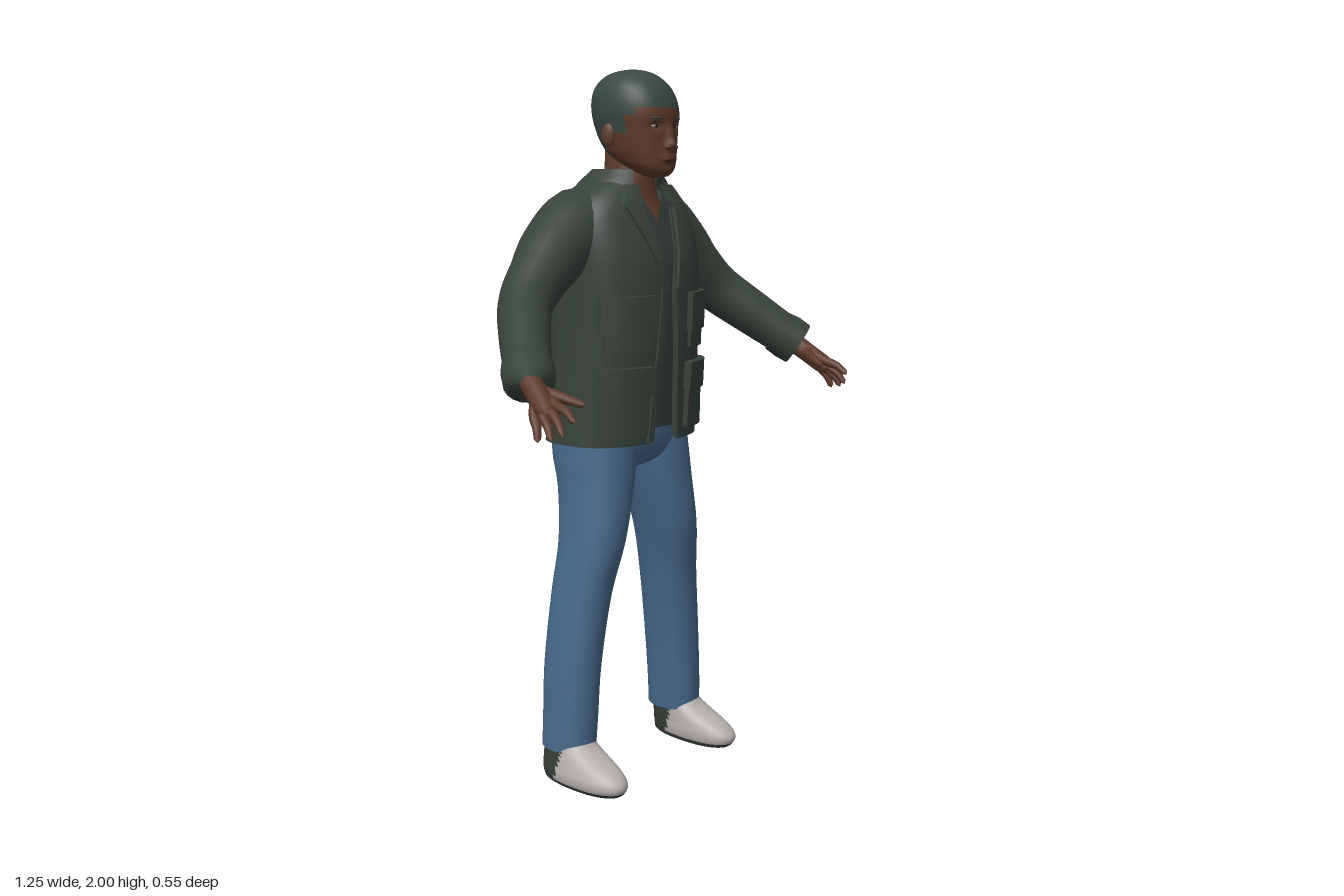
import * as THREE from 'three';

const paint = (name, color, side = THREE.FrontSide) => {
  const m = new THREE.MeshStandardMaterial({ color, side });
  m.name = name;
  return m;
};

// Catmull-Rom smoothing of a list of rows
function smooth(rows, k) {
  const out = [];
  for (let i = 0; i < rows.length - 1; i++) {
    const [a, b, c, d] = [-1, 0, 1, 2].map(o => rows[Math.min(Math.max(i + o, 0), rows.length - 1)]);
    for (let s = 0; s < k; s++) {
      const t = s / k;
      out.push(b.map((v, j) => v + 0.5 * t * (c[j] - a[j] + t * (2 * a[j] - 5 * v + 4 * c[j] - d[j] + t * (3 * (v - c[j]) + d[j] - a[j])))));
    }
  }
  out.push(rows[rows.length - 1]);
  return out;
}

// Skin over horizontal sections [y, zFront, zBack, halfWidth, centreX, frontGap]
function loft(rows, { n = 40, k = 4, p = 2.2, warp, zone } = {}) {
  const open = rows.some(r => r[5] !== undefined);
  const full = smooth(rows.map(r => [r[0], r[1], r[2], r[3], r[4] ?? 0, r[5] ?? 0]), k);
  const cols = open ? n + 1 : n, pos = [], faces = [[], []];
  const pw = v => Math.sign(v) * Math.abs(v) ** (2 / p);
  for (const [y, zf, zb, hw, cx, gap] of full) {
    const g = gap > 0.001 ? Math.asin(Math.min(1, (gap / hw) ** (p / 2))) : 0;
    for (let j = 0; j < cols; j++) {
      const a = g + (j / n) * (2 * Math.PI - 2 * g);
      const v = new THREE.Vector3(cx + hw * pw(Math.sin(a)), y, (zf + zb) / 2 + (zf - zb) / 2 * pw(Math.cos(a)));
      if (warp) warp(v);
      pos.push(v.x, v.y, v.z);
    }
  }
  for (let i = 0; i < full.length - 1; i++) for (let j = 0; j < n; j++) {
    const j2 = (j + 1) % cols, a = i * cols + j, b = i * cols + j2, c = b + cols, d = a + cols;
    const mid = o => (pos[3 * a + o] + pos[3 * b + o] + pos[3 * c + o] + pos[3 * d + o]) / 4;
    faces[zone && zone(mid(0), mid(1), mid(2)) ? 1 : 0].push(a, b, c, a, c, d);
  }
  const g = new THREE.BufferGeometry();
  g.setAttribute('position', new THREE.Float32BufferAttribute(pos, 3));
  g.setIndex([...faces[0], ...faces[1]]);
  if (zone) {
    g.addGroup(0, faces[0].length, 0);
    g.addGroup(faces[0].length, faces[1].length, 1);
  }
  g.computeVertexNormals();
  return g;
}

// Tube through points [x, y, z, radius] with closed ends
function limb(pts, seg = 24, sides = 18) {
  const curve = new THREE.CatmullRomCurve3(pts.map(q => new THREE.Vector3(...q)));
  const g = new THREE.TubeGeometry(curve, seg, 1, sides), at = g.attributes.position, v = new THREE.Vector3();
  for (let i = 0; i <= seg; i++) {
    const c = curve.getPointAt(i / seg), t = curve.getUtoTmapping(i / seg) * (pts.length - 1);
    const k = Math.min(Math.floor(t), pts.length - 2);
    const r = i === 0 || i === seg ? 0.0005 : THREE.MathUtils.lerp(pts[k][3], pts[k + 1][3], t - k);
    for (let j = 0; j <= sides; j++) {
      const q = i * (sides + 1) + j;
      v.fromBufferAttribute(at, q).sub(c).multiplyScalar(r).add(c);
      at.setXYZ(q, v.x, v.y, v.z);
    }
  }
  return g;
}

const JACKET = [
  [0.98, 0.055, -0.275, 0.235, 0, 0.05], [1.1, 0.062, -0.268, 0.23, 0, 0.042], [1.25, 0.075, -0.265, 0.224, 0, 0.03],
  [1.4, 0.08, -0.27, 0.222, 0, 0.015], [1.5, 0.07, -0.268, 0.225, 0, 0.028], [1.58, 0.045, -0.255, 0.222, 0, 0.045],
  [1.64, 0.025, -0.235, 0.195, 0, 0.058], [1.68, 0.008, -0.212, 0.15, 0, 0.06], [1.705, 0, -0.185, 0.1, 0, 0.06]];
const JP = 2.5;

// Front surface of the jacket at x, y
function chestZ(x, y) {
  let i = 0;
  while (i < JACKET.length - 2 && JACKET[i + 1][0] < y) i++;
  const a = JACKET[i], b = JACKET[i + 1], t = (y - a[0]) / (b[0] - a[0]);
  const [zf, zb, hw] = [1, 2, 3].map(j => a[j] + (b[j] - a[j]) * t);
  return (zf + zb) / 2 + (zf - zb) / 2 * Math.max(0, 1 - Math.abs(x / hw) ** JP) ** (1 / JP);
}

// Padded panel lying on the jacket; edges are x as a function of height fraction
function panel(s, inner, outer, y0, y1, thick) {
  const g = new THREE.BoxGeometry(1, 1, 1, 8, 10, 1), at = g.attributes.position;
  for (let i = 0; i < at.count; i++) {
    const u = at.getX(i) + 0.5, t = at.getY(i) + 0.5, y = y0 + (y1 - y0) * t;
    const x = s > 0 ? inner(t) + u * (outer(t) - inner(t)) : -outer(t) + u * (outer(t) - inner(t));
    at.setXYZ(i, x, y, chestZ(x, y) + (at.getZ(i) > 0 ? thick : -0.015));
  }
  g.computeVertexNormals();
  return g;
}

export function createModel() {
  const root = new THREE.Group();
  const skin = paint('skin', 0x5c3a2b), hair = paint('hair', 0x3a4743);
  const jacket = paint('jacket cloth', 0x38423a, THREE.DoubleSide), shirt = paint('shirt cloth', 0x343c39, THREE.DoubleSide);
  const denim = paint('denim', 0x48698a, THREE.DoubleSide), shoeTop = paint('shoe upper', 0xb5afad);
  const sole = paint('heel and sole', 0x363f38), white = paint('eye white', 0xa89c94);
  const lip = paint('lips', 0x4c2a22), iris = paint('iris', 0x1c1512);
  const add = (name, geo, mat) => {
    const m = new THREE.Mesh(geo, mat);
    m.name = name;
    root.add(m);
    return m;
  };
  const blob = (name, mat, x, y, z, a, b, c) => {
    const m = add(name, new THREE.SphereGeometry(1, 16, 12), mat);
    m.position.set(x, y, z);
    m.scale.set(a, b, c);
    return m;
  };

  // Head with nose, lips, brow and eye sockets raised or pressed by bumps
  const bumps = [[0, 1.795, 0.024, 0.014, 0.016], [0, 1.825, 0.014, 0.01, 0.02], [0, 1.76, 0.012, 0.024, 0.013],
    [0.038, 1.846, -0.009, 0.018, 0.011], [-0.038, 1.846, -0.009, 0.018, 0.011], [0, 1.728, 0.006, 0.025, 0.012]];
  add('head', loft([
    [1.708, 0.03, 0.01, 0.004], [1.714, 0.058, -0.01, 0.032], [1.735, 0.07, -0.06, 0.06], [1.765, 0.072, -0.115, 0.078],
    [1.8, 0.071, -0.148, 0.09], [1.84, 0.072, -0.168, 0.098], [1.88, 0.074, -0.179, 0.104], [1.92, 0.064, -0.18, 0.102],
    [1.955, 0.042, -0.168, 0.09], [1.982, 0.008, -0.138, 0.065], [1.995, -0.025, -0.1, 0.036], [2, -0.062, -0.064, 0.001]], {
    n: 72, k: 6,
    warp: v => {
      if (v.z > 0) for (const [x, y, h, sx, sy] of bumps) v.z += h * Math.exp(-(((v.x - x) / sx) ** 2) - ((v.y - y) / sy) ** 2);
    },
    zone: (x, y, z) => y > (z < -0.085 ? 1.755 : z < -0.005 ? 1.825 : z < 0.02 ? 1.87 : 1.893)
  }), [skin, hair]);
  blob('lips', lip, 0, 1.757, 0.074, 0.024, 0.009, 0.011);
  for (const s of [1, -1]) {
    blob('eye', white, s * 0.038, 1.845, 0.05, 0.016, 0.006, 0.009);
    blob('iris', iris, s * 0.037, 1.845, 0.056, 0.006, 0.0055, 0.005);
    blob('eyebrow', hair, s * 0.04, 1.866, 0.062, 0.022, 0.004, 0.006).rotation.y = s * 0.35;
    blob('nostril wing', skin, s * 0.013, 1.79, 0.078, 0.01, 0.008, 0.011);
    blob('ear', skin, s * 0.1, 1.822, -0.06, 0.01, 0.032, 0.02).rotation.y = s * -0.3;
  }

  // Neck and chest, shirt, jacket shell, collar
  add('neck', loft([[1.45, 0.045, -0.2, 0.15], [1.58, 0.028, -0.2, 0.14], [1.65, 0.002, -0.165, 0.085],
    [1.72, -0.005, -0.15, 0.062], [1.8, -0.02, -0.145, 0.058]]), skin);
  add('shirt', loft([[1.02, 0.045, -0.25, 0.215, 0, 0], ...JACKET.slice(1, -1).map(([y, zf, zb, hw]) =>
    [y, zf - 0.012, zb + 0.015, hw - 0.015, 0, Math.max(0, (y - 1.59) * 0.6)])], { p: JP }), shirt);
  add('jacket body', loft(JACKET, { n: 64, p: JP }), jacket);
  add('collar', loft([[1.652, 0.028, -0.242, 0.142, 0, 0.085], [1.69, 0.022, -0.226, 0.124, 0, 0.072], [1.722, 0.008, -0.192, 0.096, 0, 0.058],
    [1.73, 0, -0.178, 0.086, 0, 0.054], [1.69, -0.005, -0.165, 0.078, 0, 0.05]]), jacket);

  for (const s of [1, -1]) {
    // Lapel, front placket and pockets
    add('lapel', panel(s, t => 0.018 + 0.045 * t, t => 0.026 + 0.09 * t, 1.41, 1.63, 0.012), jacket);
    add('collar wing', panel(s, t => 0.062 - 0.004 * t, t => 0.122 - 0.03 * t, 1.64, 1.69, 0.014), jacket);
    add('placket', panel(s, t => 0.05 - 0.035 * t, t => 0.07 - 0.03 * t, 0.985, 1.41, 0.007), jacket);
    add('chest pocket', panel(s, () => 0.082, () => 0.198, 1.24, 1.37, 0.012), jacket);
    add('chest pocket flap', panel(s, () => 0.074, () => 0.207, 1.29, 1.395, 0.022), jacket);
    add('lower pocket', panel(s, () => 0.082, () => 0.205, 1.01, 1.17, 0.018), jacket);
    add('lower pocket flap', panel(s, () => 0.074, () => 0.21, 1.12, 1.2, 0.027), jacket);

    // Sleeve and cuff
    add('sleeve', limb([[s * 0.07, 1.565, -0.125, 0.1], [s * 0.15, 1.572, -0.125, 0.112], [s * 0.25, 1.512, -0.12, 0.098],
      [s * 0.32, 1.45, -0.108, 0.082], [s * 0.39, 1.385, -0.085, 0.073], [s * 0.47, 1.305, -0.005, 0.067],
      [s * 0.548, 1.222, 0.09, 0.06]], 40, 24), jacket);
    add('cuff', limb([[s * 0.515, 1.253, 0.05, 0.064], [s * 0.54, 1.23, 0.08, 0.069], [s * 0.562, 1.207, 0.108, 0.066]], 16, 20), jacket);

    // Hand: palm, four fingers and thumb
    add('palm', limb([[s * 0.55, 1.215, 0.095, 0.03], [s * 0.565, 1.185, 0.138, 0.029], [s * 0.58, 1.155, 0.18, 0.029],
      [s * 0.588, 1.14, 0.2, 0.02]], 16, 14), skin);
    const fingers = [[0.566, 1.165, 0.205, 0.573, 1.13, 0.277], [0.579, 1.15, 0.2, 0.594, 1.098, 0.256],
      [0.592, 1.14, 0.185, 0.608, 1.086, 0.23], [0.6, 1.135, 0.165, 0.617, 1.078, 0.192]];
    for (const [x, y, z, tx, ty, tz] of fingers) {
      add('finger', limb([[s * 0.565, 1.19, 0.135, 0.016], [s * x, y, z, 0.014],
        [s * (x + tx) / 2, (y + ty) / 2 + 0.005, (z + tz) / 2 + 0.003, 0.0115], [s * tx, ty, tz, 0.008]], 16, 10), skin);
    }
    add('thumb', limb([[s * 0.56, 1.195, 0.13, 0.018], [s * 0.53, 1.18, 0.175, 0.0145], [s * 0.498, 1.16, 0.236, 0.009]], 14, 10), skin);

    // Trouser leg
    add('trouser leg', loft([[0.105, -0.022, -0.188, 0.066, s * 0.229], [0.2, -0.018, -0.188, 0.067, s * 0.224],
      [0.35, -0.015, -0.19, 0.069, s * 0.213], [0.55, -0.002, -0.185, 0.073, s * 0.185], [0.7, 0.022, -0.182, 0.08, s * 0.155],
      [0.85, 0.02, -0.205, 0.096, s * 0.125], [0.95, 0.014, -0.235, 0.107, s * 0.111], [1.08, 0, -0.235, 0.105, s * 0.105]]), denim);

    // Shoe with dark heel and sole
    add('shoe', loft([[0.004, -0.03, -0.034, 0.002, s * 0.238], [0.006, 0.085, -0.165, 0.048, s * 0.238], [0.022, 0.115, -0.18, 0.062, s * 0.24],
      [0.045, 0.119, -0.183, 0.066, s * 0.24], [0.07, 0.092, -0.183, 0.063, s * 0.238], [0.095, 0.04, -0.182, 0.06, s * 0.235],
      [0.12, -0.01, -0.18, 0.058, s * 0.232], [0.15, -0.035, -0.175, 0.055, s * 0.229]], {
      n: 56, k: 5, zone: (x, y, z) => y < 0.024 || z < -0.105 + y * 0.3
    }), [shoeTop, sole]);
  }

  // Seat of the trousers
  add('trouser seat', loft([[0.895, -0.05, -0.16, 0.03], [0.92, -0.005, -0.215, 0.12], [0.96, 0.014, -0.238, 0.2],
    [1.02, 0.02, -0.245, 0.213], [1.1, 0.02, -0.24, 0.205]], { p: 2.4 }), denim);
  return root;
}
